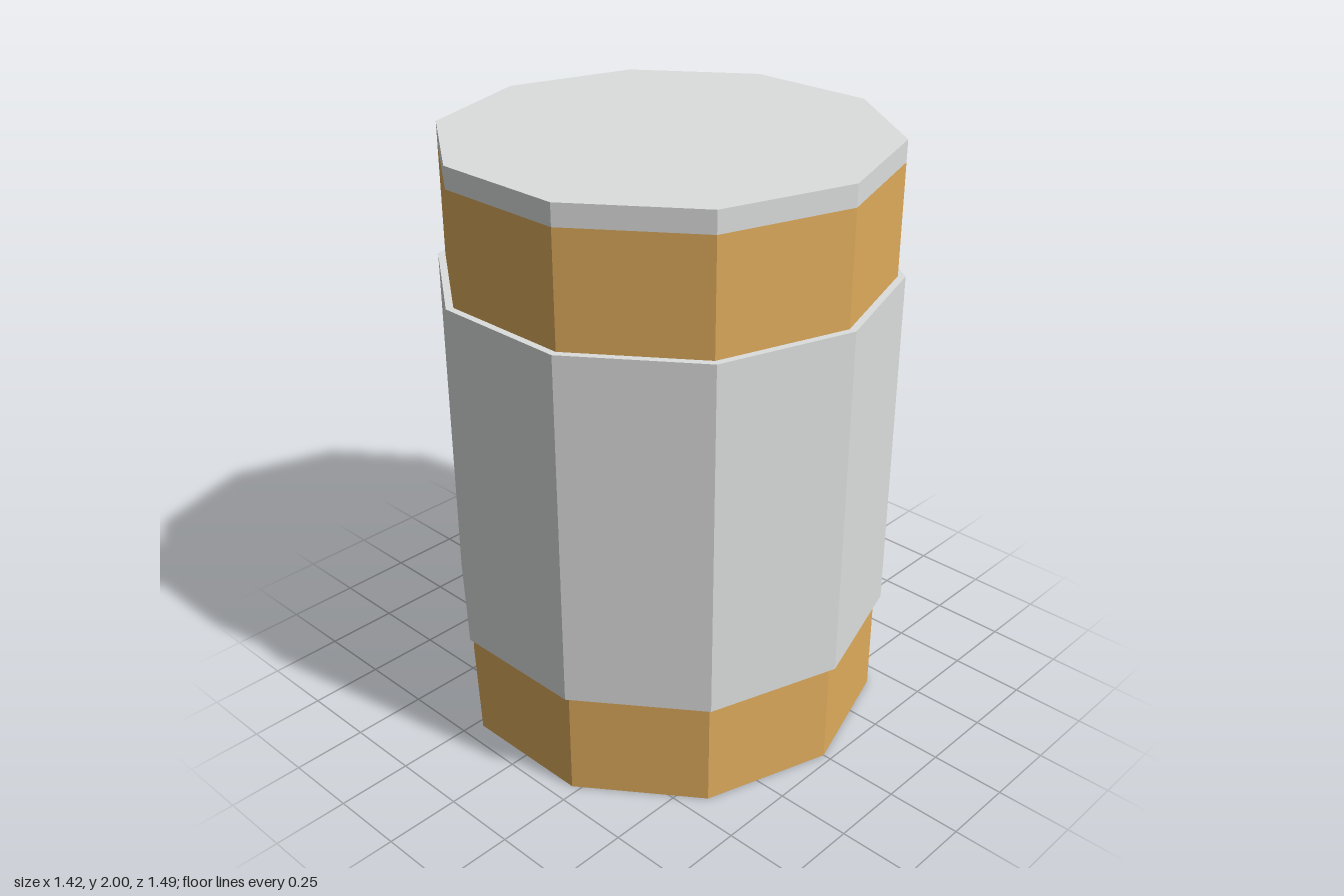
import * as THREE from 'three';

const SIDES = 10;

export function createModel() {
  const gold = new THREE.MeshStandardMaterial({ color: 0xdeab5c, flatShading: true });
  gold.name = 'gold';
  const grey = new THREE.MeshStandardMaterial({ color: 0xdcdedd, flatShading: true });
  grey.name = 'lightGrey';

  const group = new THREE.Group();
  group.name = 'canister';

  // Ten-sided prism between two heights
  function prism(name, radius, bottom, top, material) {
    const geometry = new THREE.CylinderGeometry(radius, radius, top - bottom, SIDES);
    const mesh = new THREE.Mesh(geometry, material);
    mesh.name = name;
    mesh.position.y = (bottom + top) / 2;
    group.add(mesh);
  }

  prism('body', 0.722, 0, 1.93, gold);
  prism('topCap', 0.722, 1.93, 2, grey);
  prism('middleSleeve', 0.746, 0.37, 1.563, grey);

  return group;
}
